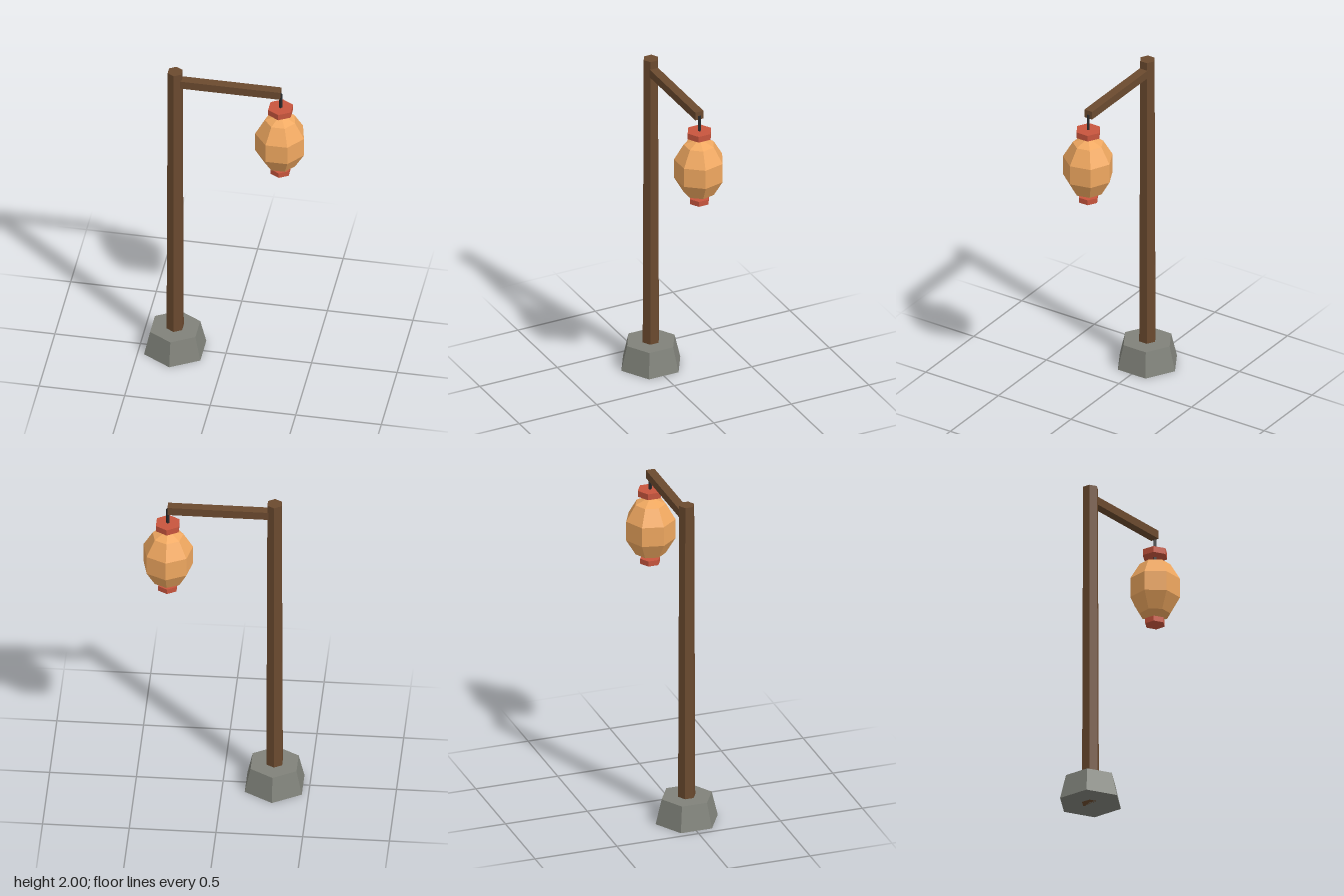
import * as THREE from 'three';

const material = (color) => new THREE.MeshStandardMaterial({ color, flatShading: true });

export function createModel() {
  const model = new THREE.Group();
  const wood = material(0x6b4a2f);
  const stone = material(0x80827a);
  const red = material(0xc8553d);
  const paper = material(0xf0a860);
  const iron = material(0x2a2a2c);

  const postX = -0.297;
  const lanternX = 0.319;

  function add(name, geometry, mat, x, y, parent = model) {
    const mesh = new THREE.Mesh(geometry, mat);
    mesh.name = name;
    mesh.position.set(x, y, 0);
    parent.add(mesh);
    return mesh;
  }

  // Upright prism or taper between two heights
  function column(name, rTop, rBottom, y0, y1, sides, mat, x, parent) {
    const geometry = new THREE.CylinderGeometry(rTop, rBottom, y1 - y0, sides);
    return add(name, geometry, mat, x, (y0 + y1) / 2, parent);
  }

  // Stone foot, tapered post and side arm
  column('base', 0.153, 0.19, 0, 0.152, 6, stone, postX);
  column('post', 0.046, 0.053, 0, 2, 6, wood, postX);
  const armLength = lanternX - postX;
  add('arm', new THREE.BoxGeometry(armLength, 0.05, 0.053), wood, postX + armLength / 2, 1.926);

  // Hanging lantern
  const lantern = new THREE.Group();
  lantern.name = 'lantern';
  lantern.position.x = lanternX;
  model.add(lantern);
  column('cord', 0.01, 0.01, 1.77, 1.925, 4, iron, 0, lantern);
  column('topCap', 0.076, 0.076, 1.79, 1.827, 6, red, 0, lantern);
  column('bottomCap', 0.061, 0.061, 1.361, 1.393, 6, red, 0, lantern);

  // Seven-sided shade, a stretched faceted ball with one corner to the back
  const shade = add('shade', new THREE.SphereGeometry(0.154, 7, 5), paper, 0, 1.582, lantern);
  shade.scale.y = 1.25;
  shade.rotation.y = -Math.PI / 2;

  return model;
}
